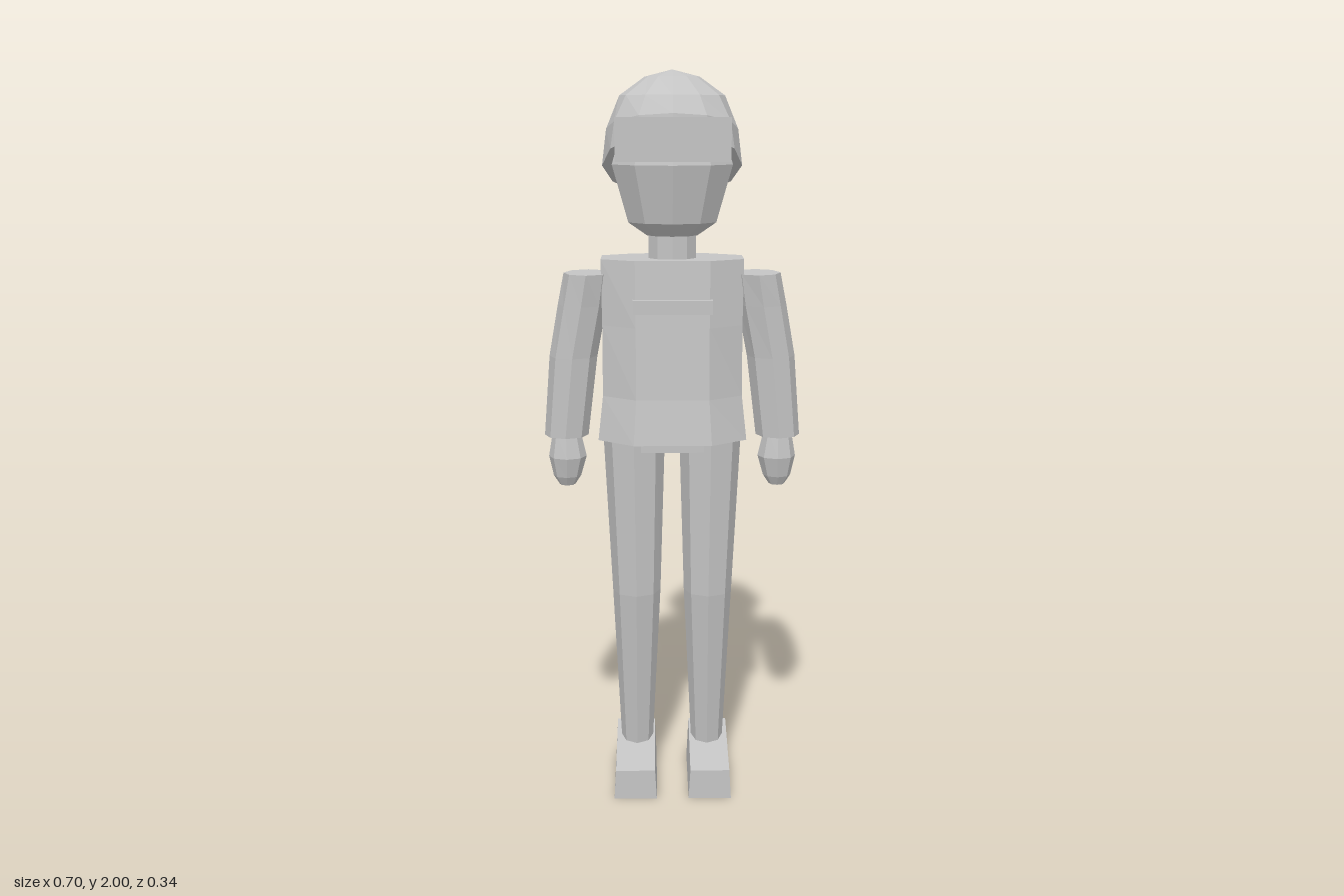
import * as THREE from 'three';

const grey = new THREE.MeshStandardMaterial({ color: 0xc4c4c4 });
grey.name = 'light grey';
grey.flatShading = true;

// Unit outlines in the x-z plane, ordered from +x towards +z
const polygon = (n) => Array.from({ length: n }, (_, i) => {
  const a = Math.PI / 2 + (i / n) * Math.PI * 2;
  return [Math.cos(a), Math.sin(a)];
});
const square = [[1, -1], [1, 1], [-1, 1], [-1, -1]];
const chest = [[1, -0.5], [1, 0.5], [0.52, 1], [-0.52, 1], [-1, 0.5], [-1, -0.5], [-0.52, -1], [0.52, -1]];

// Closed faceted loft; levels run bottom to top as [y, centreX, centreZ, radiusX, radiusZ, tilt]
function loft(name, outline, levels) {
  const rings = levels.map(([y, cx, cz, rx, rz, tilt = 0]) =>
    outline.map(([px, pz]) => [cx + px * rx, y + pz * tilt, cz + pz * rz]));
  const n = outline.length;
  const pos = [];
  const tri = (...corners) => corners.forEach((c) => pos.push(...c));
  for (let k = 0; k < rings.length - 1; k++) {
    const lo = rings[k], hi = rings[k + 1];
    for (let i = 0; i < n; i++) {
      const j = (i + 1) % n;
      tri(lo[i], hi[i], hi[j]);
      tri(lo[i], hi[j], lo[j]);
    }
  }
  const centre = ([y, cx, cz]) => [cx, y, cz];
  const first = rings[0], last = rings[rings.length - 1];
  for (let i = 0; i < n; i++) {
    const j = (i + 1) % n;
    tri(centre(levels[0]), first[i], first[j]);
    tri(centre(levels[levels.length - 1]), last[j], last[i]);
  }
  const geometry = new THREE.BufferGeometry();
  geometry.setAttribute('position', new THREE.Float32BufferAttribute(pos, 3));
  geometry.computeVertexNormals();
  const mesh = new THREE.Mesh(geometry, grey);
  mesh.name = name;
  return mesh;
}

function box(name, w, h, d, x, y, z) {
  const mesh = new THREE.Mesh(new THREE.BoxGeometry(w, h, d), grey);
  mesh.name = name;
  mesh.position.set(x, y, z);
  return mesh;
}

export function createModel() {
  const model = new THREE.Group();
  model.name = 'figure';

  // Head, neck, tilted helmet and visor
  model.add(
    loft('head', polygon(10), [
      [1.575, 0, 0, 0.07, 0.065],
      [1.61, 0, 0, 0.122, 0.105],
      [1.76, 0, 0, 0.166, 0.143],
      [1.88, 0, 0, 0.13, 0.11],
    ]),
    loft('neck', polygon(10), [
      [1.48, 0, 0, 0.066, 0.062],
      [1.6, 0, 0, 0.066, 0.062],
    ]),
    loft('helmet', polygon(12), [
      [1.756, 0, -0.008, 0.185, 0.163, 0.09],
      [1.85, 0, 0.002, 0.173, 0.147, 0.04],
      [1.935, 0, 0, 0.138, 0.119],
      [1.982, 0, 0, 0.072, 0.067],
      [2, 0, 0, 0.001, 0.001],
    ]),
    box('visor', 0.294, 0.11, 0.018, 0, 1.825, 0.161),
  );

  // Jacket with flared hem, chest strip and pelvis
  model.add(
    loft('torso', chest, [
      [1.03, 0, -0.002, 0.2, 0.145],
      [1.15, 0, -0.003, 0.187, 0.128],
      [1.34, 0, -0.005, 0.187, 0.118],
      [1.515, 0, -0.007, 0.19, 0.107],
    ]),
    box('chestStrip', 0.21, 0.036, 0.04, 0, 1.397, 0.113),
    box('pelvis', 0.17, 0.1, 0.21, 0, 1.05, -0.01),
  );

  // Mirrored limbs
  for (const [side, s] of [['left', 1], ['right', -1]]) {
    model.add(
      loft(`${side}Arm`, polygon(8), [
        [1.03, s * 0.29, 0, 0.06, 0.058],
        [1.25, s * 0.268, 0, 0.065, 0.064],
        [1.39, s * 0.242, 0, 0.066, 0.073],
        [1.475, s * 0.228, 0, 0.063, 0.08],
      ]),
      loft(`${side}Hand`, polygon(8), [
        [0.89, s * 0.29, 0, 0.022, 0.022],
        [0.915, s * 0.29, 0, 0.038, 0.036],
        [0.97, s * 0.288, 0, 0.052, 0.05],
        [1.04, s * 0.29, 0, 0.038, 0.036],
      ]),
      loft(`${side}Leg`, polygon(8), [
        [0.1, s * 0.101, -0.044, 0.045, 0.047],
        [0.58, s * 0.1, -0.004, 0.067, 0.07],
        [1.06, s * 0.105, -0.01, 0.086, 0.092],
      ]),
      loft(`${side}Shoe`, square, [
        [0, s * 0.105, -0.004, 0.06, 0.136],
        [0.108, s * 0.105, 0.008, 0.055, 0.123, -0.023],
      ]),
    );
  }
  return model;
}
